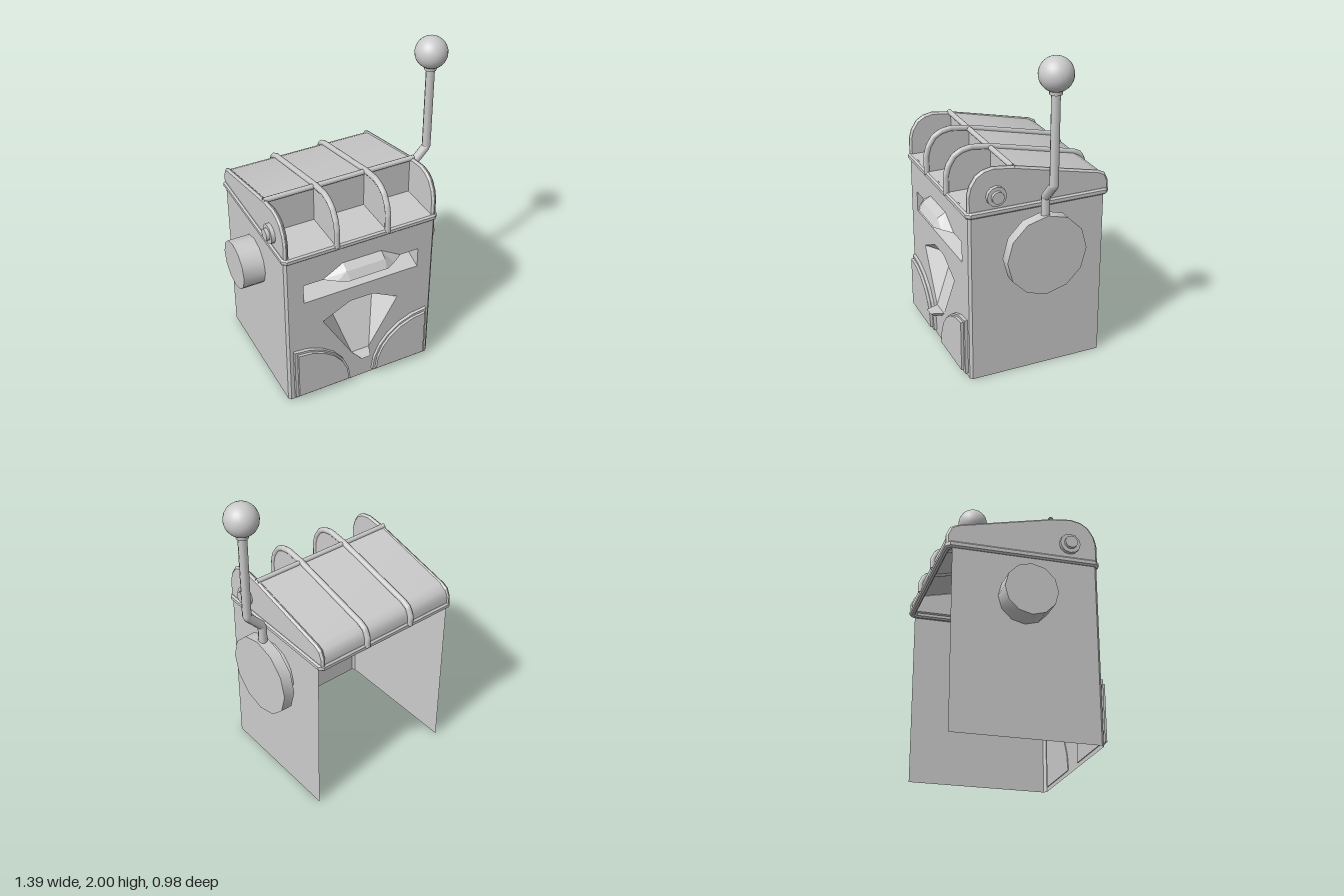
import * as THREE from 'three';
import { toCreasedNormals } from 'three/addons/utils/BufferGeometryUtils.js';
import { ConvexGeometry } from 'three/addons/geometries/ConvexGeometry.js';

const MID = -0.0775; // centre line of the cabinet
const AXLE_Y = 0.8, AXLE_Z = -0.035;

export function createModel() {
  const root = new THREE.Group();
  root.name = 'leverMachine';
  const solid = new THREE.MeshStandardMaterial({ color: 0xcccccc });
  const sheet = new THREE.MeshStandardMaterial({ color: 0xcccccc, side: THREE.DoubleSide });

  function add(name, geometry, material = solid) {
    const mesh = new THREE.Mesh(geometry, material);
    mesh.name = name;
    root.add(mesh);
    return mesh;
  }

  // Flat polygons (fans of corners) joined into one surface
  function faces(polys) {
    const pos = [];
    for (const p of polys)
      for (let i = 1; i < p.length - 1; i++) pos.push(...p[0], ...p[i], ...p[i + 1]);
    const g = new THREE.BufferGeometry();
    g.setAttribute('position', new THREE.Float32BufferAttribute(pos, 3));
    g.computeVertexNormals();
    return g;
  }

  // Quads between successive rows of points
  function loft(rows, closed = false) {
    const polys = [];
    for (let r = 0; r < rows.length - 1; r++) {
      const a = rows[r], b = rows[r + 1], n = a.length;
      for (let i = 0; i < (closed ? n : n - 1); i++) {
        const j = (i + 1) % n;
        polys.push([a[i], b[i], b[j], a[j]]);
      }
    }
    return faces(polys);
  }

  const shapeOf = pts => new THREE.Shape(pts.map(p => new THREE.Vector2(...p)));
  const pathOf = pts => new THREE.Path(pts.map(p => new THREE.Vector2(...p)));

  // Plate with a (z, y) outline, centred on x
  function plate(name, pts, x, thick, bevel) {
    const depth = thick - 2 * bevel;
    const g = new THREE.ExtrudeGeometry(shapeOf(pts), {
      depth, bevelEnabled: bevel > 0, bevelSize: bevel, bevelThickness: bevel, bevelOffset: -bevel, bevelSegments: 1,
    });
    g.translate(0, 0, -depth / 2).rotateY(-Math.PI / 2).translate(x, 0, 0);
    add(name, g);
  }

  // Cylinder lying along x
  function drum(name, x0, x1, r, sides, y = AXLE_Y, z = AXLE_Z) {
    const g = toCreasedNormals(new THREE.CylinderGeometry(r, r, Math.abs(x1 - x0), sides), 0.7);
    g.rotateZ(Math.PI / 2).translate((x0 + x1) / 2, y, z);
    add(name, g);
  }

  function tube(name, pts, r, segments) {
    const path = new THREE.CurvePath();
    const v = pts.map(p => new THREE.Vector3(...p));
    for (let i = 0; i < v.length - 1; i++) path.add(new THREE.LineCurve3(v[i], v[i + 1]));
    add(name, new THREE.TubeGeometry(path, segments, r, 8), sheet);
  }

  // Cabinet: thin walls, open at the back and below
  const slot = [[-0.45, 0.74], [0.3, 0.74], [0.3, 0.87], [-0.45, 0.87]];
  const mouth = [[-0.33, 0.55], [-0.15, 0.64], [0, 0.64], [0.17, 0.55], [-0.02, 0.22], [-0.14, 0.22]];
  const front = shapeOf([[-0.55, 0], [0.395, 0], [0.395, 1.08], [-0.55, 1.08]]);
  front.holes.push(pathOf(slot), pathOf(mouth));
  add('frontWall', new THREE.ShapeGeometry(front).translate(0, 0, 0.4), sheet);
  for (const s of [-1, 1]) {
    const line = [[0.4725, 0.4], [0.4875, 0.385], [0.4875, -0.45]];
    const rows = [0, 1.08].map(y => line.map(([x, z]) => [MID + s * x, y, z]));
    add('sideWall', loft(rows), sheet);
  }

  // Wedge-shaped slot recess
  const [s0, s1, s2, s3] = slot.map(([x, y]) => [x, y, 0.4]);
  const backL = [-0.43, 0.87, 0.01], backR = [0.3, 0.87, 0.01];
  add('slotRecess', faces([[s0, s1, backR, backL], [s3, backL, backR, s2], [s0, backL, s3], [s1, s2, backR]]), sheet);

  // Faceted awning over the slot
  add('slotAwning', loft([
    [[-0.33, 0.87, 0.4], [-0.2, 0.948, 0.4], [0.05, 0.948, 0.4], [0.18, 0.87, 0.4]],
    [[-0.26, 0.87, 0.45], [-0.2, 0.92, 0.45], [0.05, 0.92, 0.45], [0.11, 0.87, 0.45]],
    [[-0.2, 0.866, 0.48], [-0.19, 0.87, 0.48], [0.04, 0.87, 0.48], [0.05, 0.866, 0.48]],
  ]), sheet);

  // Tapered chute with its small lip
  const inner = [[-0.22, 0.51, 0.26], [-0.15, 0.545, 0.25], [0, 0.545, 0.25],
    [0.07, 0.51, 0.26], [-0.02, 0.22, 0.4], [-0.14, 0.22, 0.4]];
  add('chuteSides', loft([mouth.map(([x, y]) => [x, y, 0.4]), inner], true), sheet);
  add('chuteBack', faces([inner]), sheet);
  const lip = [[-0.14, 0.22, 0.4], [-0.02, 0.22, 0.4], [-0.05, 0.22, 0.48], [-0.11, 0.22, 0.48],
    [-0.11, 0.19, 0.4], [-0.05, 0.19, 0.4], [-0.06, 0.19, 0.45], [-0.1, 0.19, 0.45]];
  add('chuteLip', new ConvexGeometry(lip.map(p => new THREE.Vector3(...p))));

  // Raised quarter-round panels in the lower corners
  function cornerPanel(side, inset, z) {
    const pts = [];
    const outer = 0.45 - inset, bottom = 0.025 + inset;
    for (let i = 0; i <= 6; i++) {
      const a = i / 6 * Math.PI / 2;
      pts.push([outer - (0.3725 - 2 * inset) * Math.cos(a), bottom + (0.365 - 2 * inset) * Math.sin(a)]);
    }
    pts.push([outer, bottom]);
    const g = new THREE.ExtrudeGeometry(shapeOf(pts.map(([x, y]) => [MID + side * x, y])),
      { depth: z - 0.395, bevelEnabled: false });
    add('cornerPanel', g.translate(0, 0, 0.395));
  }
  for (const s of [-1, 1]) {
    cornerPanel(s, 0, 0.42);
    cornerPanel(s, 0.018, 0.437);
  }

  // Trim ring between cabinet and hood
  const rect = (hx, z0, z1, c) => [
    [MID - hx + c, z0], [MID + hx - c, z0], [MID + hx, z0 + c], [MID + hx, z1 - c],
    [MID + hx - c, z1], [MID - hx + c, z1], [MID - hx, z1 - c], [MID - hx, z0 + c]];
  const ring = shapeOf(rect(0.5, -0.415, 0.487, 0.025));
  ring.holes.push(pathOf(rect(0.465, -0.385, 0.455, 0.015)));
  const trim = new THREE.ExtrudeGeometry(ring, {
    depth: 0.02, bevelSize: 0.01, bevelThickness: 0.01, bevelOffset: -0.01, bevelSegments: 1 });
  add('hoodTrim', trim.rotateX(-Math.PI / 2).translate(0, 1.067, 0));

  // Hood skin: bay floor, bay back wall, sloping roof, rounded rear
  const skin = [[0.4, 1.095], [0.13, 1.095], [0.13, 1.33], [-0.41, 1.205], [-0.455, 1.18], [-0.475, 1.14], [-0.475, 1.08]];
  const skinRows = skin.map(([z, y]) => [[-0.55, y, z], [0.395, y, z]]);
  add('hoodSkin', toCreasedNormals(loft(skinRows), 0.7), sheet);

  // Hood side plates with round bosses
  const crest = [[0.405, 1.08], [0.405, 1.2], [0.39, 1.255], [0.355, 1.31], [0.31, 1.338], [0.25, 1.35], [0.13, 1.335]];
  const tail = [[-0.42, 1.21], [-0.46, 1.19], [-0.483, 1.14], [-0.483, 1.08]];
  for (const s of [-1, 1]) {
    plate('hoodSide', [...crest, ...tail], MID + s * 0.472, 0.03, 0.012);
    drum('hoodBoss', MID + s * 0.48, MID + s * 0.51, 0.06, 12, 1.177, 0.235);
    drum('hoodBossCap', MID + s * 0.5, MID + s * 0.53, 0.037, 12, 1.177, 0.235);
  }

  // Two dividers with a rim running over the whole hood
  for (const x of [-0.24, 0.085]) {
    plate('bayDivider', [...crest, [0.13, 1.08]], x, 0.02, 0);
    tube('hoodRib', [...crest, ...tail].map(([z, y]) => [x, y, z]), 0.018, 80);
  }
  tube('ridgeBar', [[-0.56, 1.33, 0.13], [0.405, 1.33, 0.13]], 0.016, 1);

  // Left drum, right hub and disc
  drum('leftDrum', -0.7, -0.56, 0.152, 12);
  drum('rightHub', 0.405, 0.465, 0.178, 12);
  drum('leverDisc', 0.46, 0.53, 0.25, 12);

  // Cranked lever with collar and ball
  tube('leverArm', [[0.492, 1, AXLE_Z], [0.492, 1.155, AXLE_Z], [0.592, 1.262, AXLE_Z], [0.592, 1.84, AXLE_Z]], 0.027, 60);
  add('leverCollar', new THREE.CylinderGeometry(0.04, 0.036, 0.035, 12).translate(0.592, 1.808, AXLE_Z));
  add('leverBall', new THREE.SphereGeometry(0.098, 24, 16).translate(0.592, 1.902, AXLE_Z));

  return root;
}
